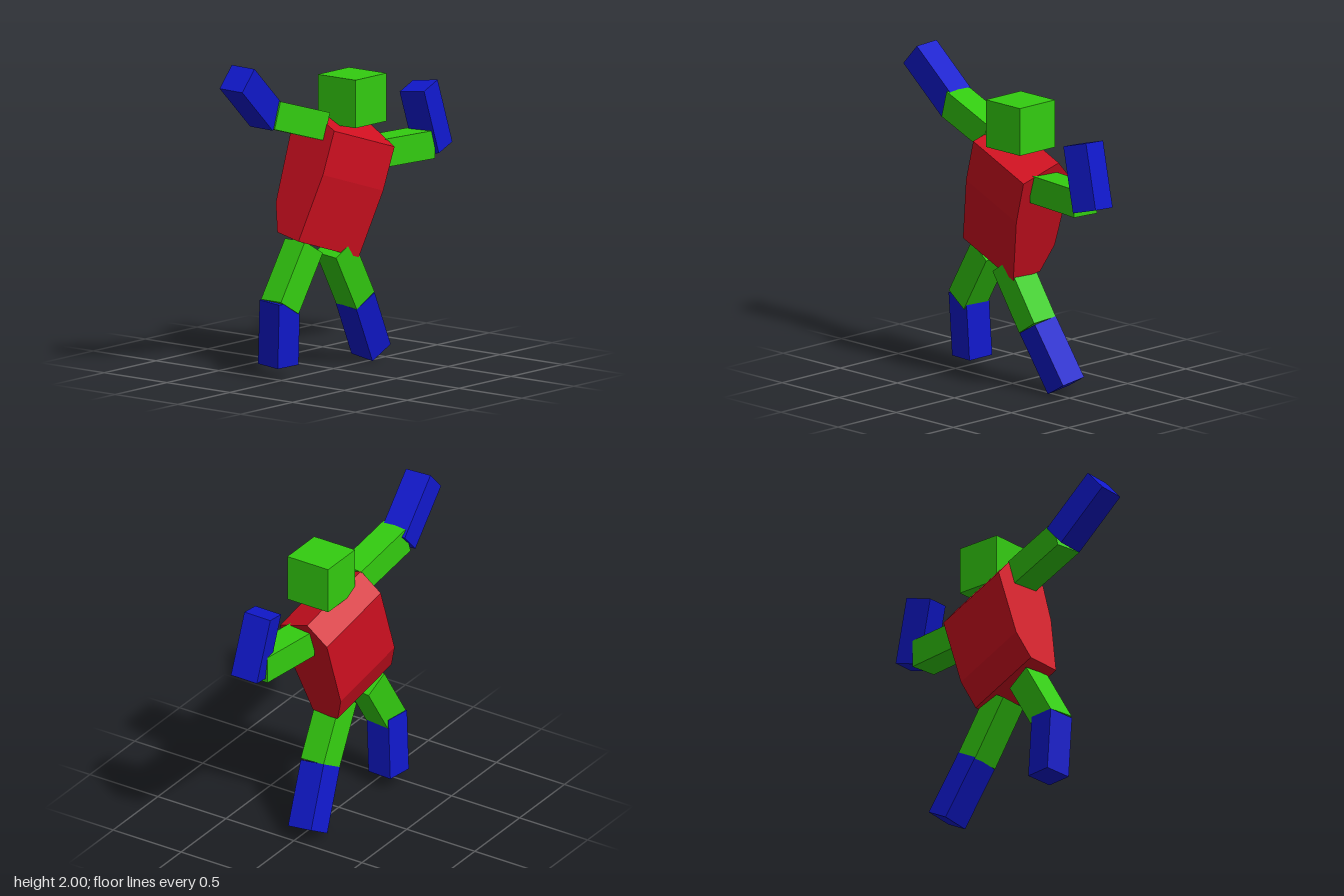
import * as THREE from 'three';

const paint = (color) => new THREE.MeshStandardMaterial({ color, flatShading: true });
const RED = paint(0xd01020), GREEN = paint(0x33cc10), BLUE = paint(0x1018cc);

// Square bar between two end centres; its depth axis is kept close to `front`.
function limb(name, material, from, to, front = [-0.12, 0, 0.99], size = 0.176) {
  const a = new THREE.Vector3(...from), b = new THREE.Vector3(...to);
  const y = b.clone().sub(a);
  const length = y.length();
  y.normalize();
  const x = y.clone().cross(new THREE.Vector3(...front)).normalize();
  const z = x.clone().cross(y);
  const mesh = new THREE.Mesh(new THREE.BoxGeometry(size, length, size), material);
  mesh.name = name;
  mesh.quaternion.setFromRotationMatrix(new THREE.Matrix4().makeBasis(x, y, z));
  mesh.position.copy(a).add(b).multiplyScalar(0.5);
  return mesh;
}

// Side profile (forward, up) swept across the width, leaning sideways.
function torso() {
  const profile = [
    [0, 0], [0.078, 0.431], [0.088, 0.709], [-0.159, 0.816],
    [-0.284, 0.683], [-0.271, 0.21], [-0.199, 0.031],
  ];
  const width = 0.535;
  const shape = new THREE.Shape(profile.map(([f, u]) => new THREE.Vector2(-f, u)));
  const geometry = new THREE.ExtrudeGeometry(shape, { depth: width, bevelEnabled: false });
  geometry.rotateY(Math.PI / 2).translate(-width, 0, 0);
  const mesh = new THREE.Mesh(geometry, RED);
  mesh.name = 'torso';
  mesh.rotation.set(0, -0.124, -0.314, 'YZX');
  mesh.position.set(0.115, 0.69, 0.106);
  return mesh;
}

export function createModel() {
  const model = new THREE.Group();
  model.name = 'blockFigure';

  const head = new THREE.Mesh(new THREE.BoxGeometry(0.3, 0.3, 0.3), GREEN);
  head.name = 'head';
  head.position.set(0.12, 1.68, 0.05);

  model.add(
    head,
    torso(),
    // Arms
    limb('leftUpperArm', GREEN, [0.31, 1.314, 0.056], [0.752, 1.314, 0.11]),
    limb('leftForearm', BLUE, [0.822, 1.272, 0.116], [0.711, 1.672, 0.09], [0.18, 0, 0.98]),
    limb('rightUpperArm', GREEN, [-0.15, 1.545, -0.005], [-0.56, 1.668, -0.06]),
    limb('rightForearm', BLUE, [-0.547, 1.645, -0.073], [-0.865, 1.932, -0.053], [0, 0, 1]),
    // Legs
    limb('leftThigh', GREEN, [-0.003, 0.765, 0.012], [0.215, 0.41, -0.004]),
    limb('leftShin', BLUE, [0.215, 0.41, -0.006], [0.42, 0.053, -0.048]),
    limb('rightThigh', GREEN, [-0.237, 0.797, -0.04], [-0.45, 0.446, -0.055]),
    limb('rightShin', BLUE, [-0.445, 0.483, -0.06], [-0.435, 0.08, -0.08]),
  );
  return model;
}
